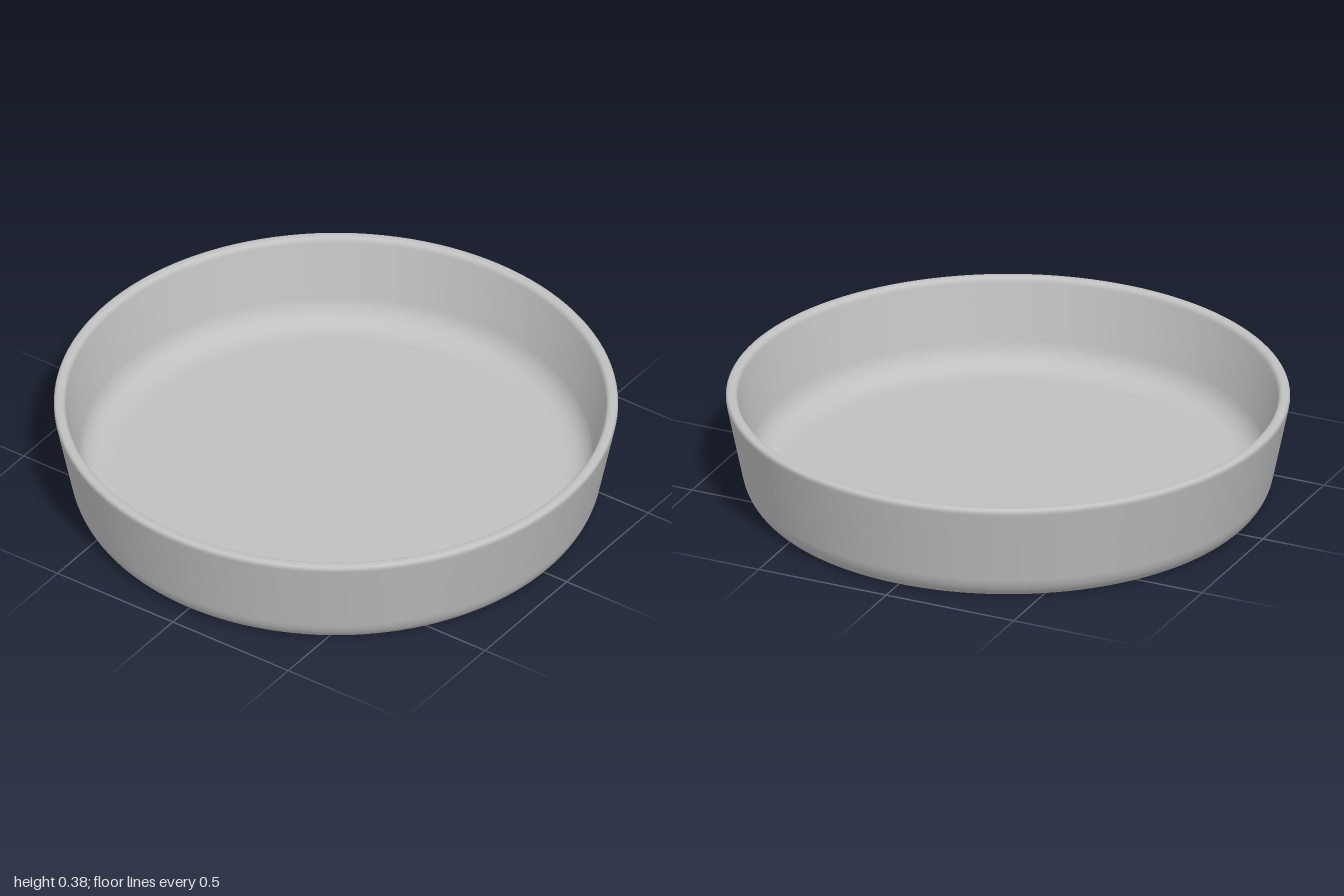
import * as THREE from 'three';

const SEGMENTS = 128;

export function createModel() {
  const dish = new THREE.Group();
  dish.name = 'roundDish';
  const greyCeramic = new THREE.MeshStandardMaterial({ color: 0xc0c0c0 });
  greyCeramic.name = 'grey ceramic';

  const addLathe = (name, points) => {
    const mesh = new THREE.Mesh(new THREE.LatheGeometry(points, SEGMENTS), greyCeramic);
    mesh.name = name;
    dish.add(mesh);
  };

  // Outer wall, rounded rim and inner wall, flowing into the floor
  const profile = new THREE.Path();
  profile.moveTo(0.895, 0);
  profile.quadraticCurveTo(0.93, 0.025, 0.941, 0.075);
  profile.lineTo(0.998, 0.352);
  profile.quadraticCurveTo(1.003, 0.375, 0.982, 0.375);
  profile.lineTo(0.976, 0.375);
  profile.quadraticCurveTo(0.96, 0.375, 0.956, 0.355);
  profile.lineTo(0.911, 0.15);
  profile.quadraticCurveTo(0.891, 0.06, 0.79, 0.06);
  addLathe('wallAndRim', profile.getPoints(12));

  // Flat inside floor
  addLathe('floor', [new THREE.Vector2(0.79, 0.06), new THREE.Vector2(0, 0.06)]);

  // Flat underside with a crisp edge
  addLathe('base', [new THREE.Vector2(0, 0), new THREE.Vector2(0.895, 0)]);

  return dish;
}
